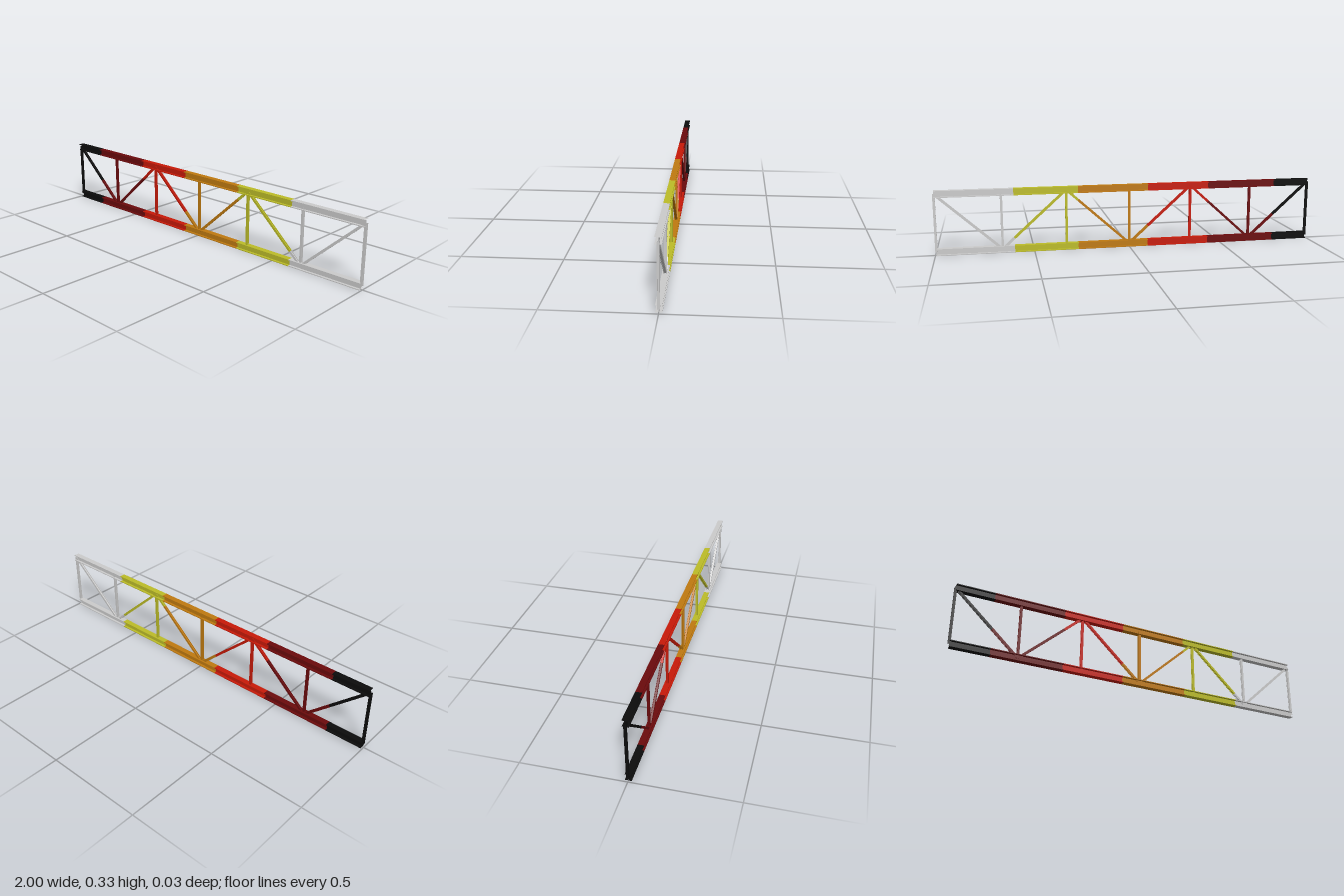
import * as THREE from 'three';

// Colour bands along the length: [right end of band, colour]
const BANDS = [
  [-0.8, 0x0c0c0c], [-0.43, 0x6b0a0c], [-0.1, 0xc81a08],
  [0.27, 0xc07a10], [0.6, 0xbcbc28], [2, 0xcccccc],
];
const HALF = 0.994, BOTTOM = 0.0175, TOP = 0.316, BAY = HALF / 3;
const materials = BANDS.map(([, color]) => new THREE.MeshStandardMaterial({ color }));

// I-section outline: flanges at +-y, web in the middle
function iSection(width, height, flange, web) {
  const w = width / 2, h = height / 2, f = h - flange, t = web / 2;
  return new THREE.Shape([
    [-w, -h], [w, -h], [w, -f], [t, -f], [t, f], [w, f],
    [w, h], [-w, h], [-w, f], [-t, f], [-t, -f], [-w, -f],
  ].map(([x, y]) => new THREE.Vector2(x, y)));
}
const chordSection = iSection(0.03, 0.035, 0.004, 0.004);
const webSection = iSection(0.012, 0.012, 0.002, 0.003);

// Open-ended beam of a section from a to b; flanges face the "up" direction
function beam(section, a, b, up) {
  const solid = new THREE.ExtrudeGeometry(section, {
    depth: a.distanceTo(b), bevelEnabled: false, steps: 1,
  });
  const { start, count } = solid.groups[1]; // walls only
  const geometry = new THREE.BufferGeometry();
  for (const key of ['position', 'normal']) {
    const data = solid.attributes[key].array.slice(start * 3, (start + count) * 3);
    geometry.setAttribute(key, new THREE.BufferAttribute(data, 3));
  }
  const along = b.clone().sub(a).normalize();
  const side = up.clone().cross(along);
  return geometry.applyMatrix4(
    new THREE.Matrix4().makeBasis(side, up, along).setPosition(a));
}

// A member running left to right, cut wherever the colour band changes
function member(name, section, x0, y0, x1, y1, up) {
  const group = new THREE.Group();
  group.name = name;
  const at = (x) => new THREE.Vector3(x, y0 + (y1 - y0) * (x - x0) / (x1 - x0 || 1), 0);
  let from = x0;
  BANDS.forEach(([end, ], i) => {
    if (end <= from || (from >= x1 && group.children.length)) return;
    const to = Math.min(end, x1);
    const a = x0 === x1 ? new THREE.Vector3(x0, y0, 0) : at(from);
    const b = x0 === x1 ? new THREE.Vector3(x1, y1, 0) : at(to);
    const mesh = new THREE.Mesh(beam(section, a, b, up), materials[i]);
    mesh.name = name + 'Segment';
    group.add(mesh);
    from = to;
  });
  return group;
}

export function createModel() {
  const truss = new THREE.Group();
  truss.name = 'truss';
  const Y = new THREE.Vector3(0, 1, 0), Z = new THREE.Vector3(0, 0, 1);

  // Chords
  truss.add(member('bottomChord', chordSection, -HALF, BOTTOM, HALF, BOTTOM, Y));
  truss.add(member('topChord', chordSection, -HALF, TOP, HALF, TOP, Y));

  // Posts at every node, diagonals zigzagging between them
  for (let i = 0; i <= 6; i++) {
    const x = -HALF + i * BAY;
    truss.add(member('post', webSection, x, BOTTOM, x, TOP, Z));
    if (i === 6) break;
    const [y0, y1] = i % 2 ? [BOTTOM, TOP] : [TOP, BOTTOM];
    truss.add(member('diagonal', webSection, x, y0, x + BAY, y1, Z));
  }
  return truss;
}
